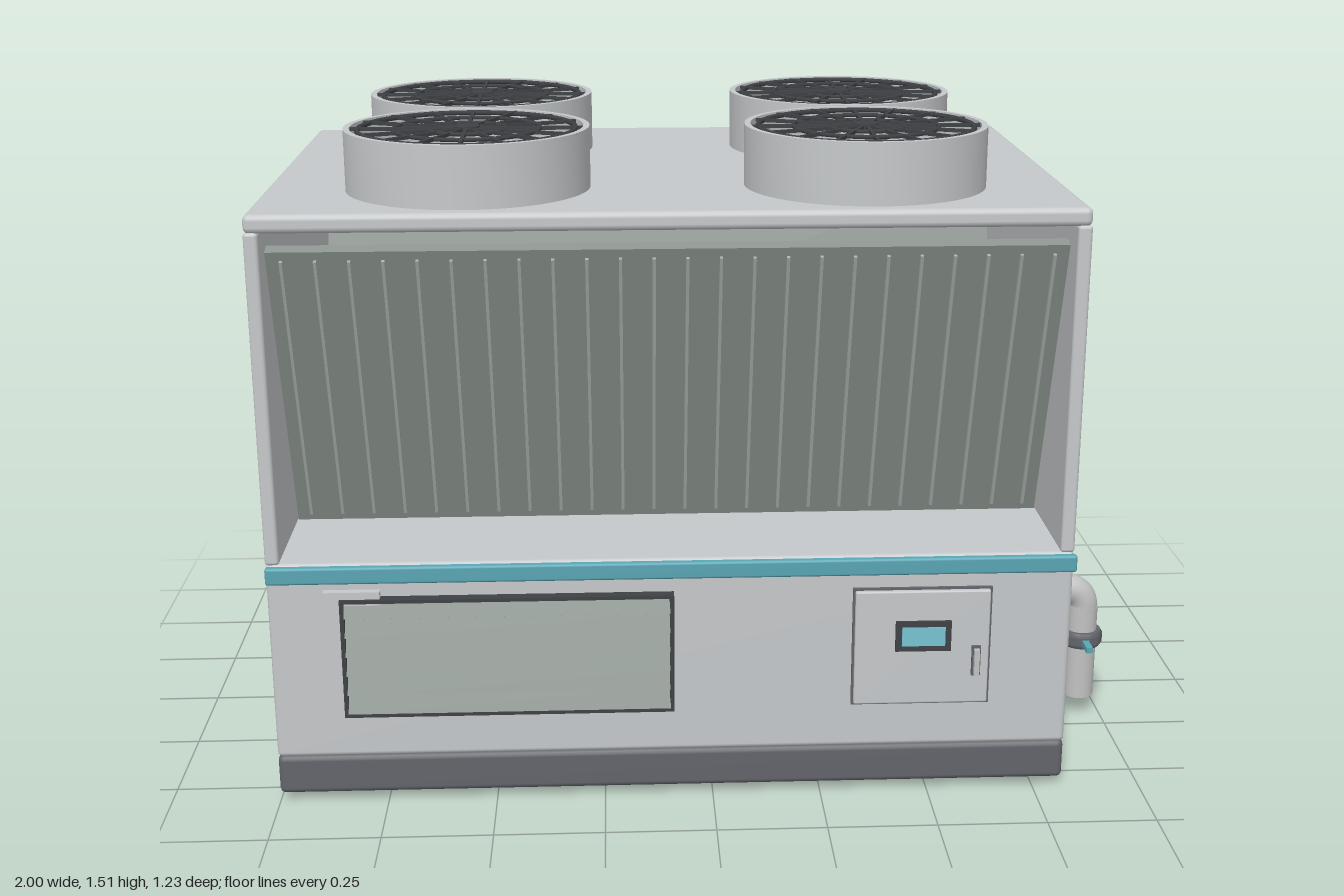
import * as THREE from 'three';
import { toCreasedNormals } from 'three/addons/utils/BufferGeometryUtils.js';
import { RoundedBoxGeometry } from 'three/addons/geometries/RoundedBoxGeometry.js';

const mat = (name, color, side = THREE.FrontSide) => {
  const m = new THREE.MeshStandardMaterial({ color, side });
  m.name = name;
  return m;
};

export function createModel() {
  const M = {
    panel: mat('light grey panel', 0xc6c9cb),
    base: mat('dark grey base', 0x63656b),
    coil: mat('grey green fin', 0x8b948f),
    rib: mat('pale fin edge', 0xa9b0ac),
    dark: mat('charcoal', 0x3f4245),
    blade: mat('fan grey', 0x5a5d60),
    pipe: mat('pipe silver', 0xc2c2c2),
    teal: mat('teal', 0x5aa6b5),
    screen: mat('screen blue', 0x78c3d3),
  };
  const root = new THREE.Group();
  root.name = 'rooftopChiller';

  const add = (parent, name, geo, m, x = 0, y = 0, z = 0) => {
    const mesh = new THREE.Mesh(geo, m);
    mesh.name = name;
    mesh.position.set(x, y, z);
    parent.add(mesh);
    return mesh;
  };
  const group = (parent, name, x = 0, y = 0, z = 0) => {
    const g = new THREE.Group();
    g.name = name;
    g.position.set(x, y, z);
    parent.add(g);
    return g;
  };
  // Box from its lower and upper corners, with optional rounded edges
  const box = (parent, name, m, [x0, y0, z0], [x1, y1, z1], r = 0) => {
    const s = [x1 - x0, y1 - y0, z1 - z0];
    const geo = r ? new RoundedBoxGeometry(...s, 2, r) : new THREE.BoxGeometry(...s);
    return add(parent, name, geo, m, (x0 + x1) / 2, (y0 + y1) / 2, (z0 + z1) / 2);
  };
  const cyl = (r, h, n = 32) => new THREE.CylinderGeometry(r, r, h, n);

  // Cabinet, symmetric about its own centre
  const W = 0.91, D = 0.594;
  const body = group(root, 'cabinet', -0.09, 0, -0.02);
  box(body, 'basePlinth', M.base, [-W, 0.02, -D], [W, 0.115, D], 0.014);
  box(body, 'lowerCabinet', M.panel, [-W, 0.113, -D], [W, 0.585, D], 0.012);
  box(body, 'roof', M.panel, [-W, 1.333, -D], [W, 1.375, D], 0.014);
  for (const s of [-1, 1]) {
    const inner = s * (W - 0.032), outer = s * W;
    box(body, 'sidePanel', M.panel, [Math.min(inner, outer), 0.583, -D], [Math.max(inner, outer), 1.336, D], 0.008);
    for (const x of [-0.785, 0, 0.785]) add(body, 'foot', cyl(0.036, 0.024, 24), M.base, x, 0.012, s * 0.503);
  }

  // Pair of slanted coil walls forming a V, each with raised fin edges
  const tilt = Math.atan2(0.23, 0.695), coilLength = 0.732;
  for (const turn of [0, Math.PI]) {
    const side = group(body, 'coilSide');
    side.rotation.y = turn;
    const wall = group(side, 'coilWall', 0, 0.932, 0.41);
    wall.rotation.x = tilt;
    box(wall, 'coil', M.coil, [-0.878, -coilLength / 2, -0.03], [0.878, coilLength / 2, 0]);
    for (let i = 0; i < 24; i++) {
      add(wall, 'finEdge', new THREE.BoxGeometry(0.007, 0.69, 0.012), M.rib, -0.845 + i * 0.0735, 0, 0.002);
    }
  }

  // Four roof fans
  const shroudProfile = [[0.262, 0], [0.276, 0], [0.276, 0.142], [0.262, 0.142], [0.262, 0]]
    .map(([r, y]) => new THREE.Vector2(r, y));
  const shroudGeo = toCreasedNormals(new THREE.LatheGeometry(shroudProfile, 64), 0.7);
  for (const x of [-0.451, 0.451]) {
    for (const z of [-0.281, 0.281]) {
      const fan = group(body, 'fan', x, 1.372, z);
      add(fan, 'fanShroud', shroudGeo, M.panel);
      add(fan, 'fanHub', cyl(0.045, 0.09), M.blade, 0, 0.046, 0);
      for (let i = 0; i < 5; i++) {
        const arm = group(fan, 'bladeArm', 0, 0.07, 0);
        arm.rotation.y = i * Math.PI * 2 / 5;
        const blade = add(arm, 'fanBlade', new THREE.BoxGeometry(0.19, 0.008, 0.058), M.blade, 0.13, 0, 0);
        blade.rotation.x = 0.35;
      }
      const guard = group(fan, 'fanGuard', 0, 0.136, 0);
      for (const [r, t] of [[0.245, 0.006], [0.165, 0.005], [0.088, 0.005]]) {
        const ring = add(guard, 'guardRing', new THREE.TorusGeometry(r, t, 6, 48), M.dark);
        ring.rotation.x = Math.PI / 2;
      }
      add(guard, 'guardCap', cyl(0.03, 0.014, 24), M.dark);
      for (let i = 0; i < 16; i++) {
        const a = i * Math.PI / 8;
        const spoke = add(guard, 'guardSpoke', new THREE.BoxGeometry(0.24, 0.008, 0.008), M.dark,
          0.143 * Math.cos(a), 0, -0.143 * Math.sin(a));
        spoke.rotation.y = a;
      }
    }
  }

  // Front trim band
  box(root, 'trimBand', M.teal, [-1, 0.54, 0.565], [0.825, 0.58, 0.586], 0.006);

  // Louvred intake with label plate
  const vent = group(root, 'intakeLouvre');
  box(vent, 'louvreBack', M.dark, [-0.837, 0.222, 0.57], [-0.089, 0.507, 0.583]);
  box(vent, 'labelPlate', M.panel, [-0.873, 0.462, 0.57], [-0.747, 0.524, 0.593]);
  for (const x of [-0.837, -0.099]) {
    box(vent, 'louvreSide', M.dark, [x, 0.222, 0.57], [x + 0.01, 0.507, 0.6]);
  }
  for (const y of [0.222, 0.499]) {
    box(vent, 'louvreRail', M.dark, [-0.837, y, 0.57], [-0.089, y + 0.008, 0.6]);
  }
  for (let i = 0; i < 6; i++) {
    const slat = add(vent, 'slat', new THREE.BoxGeometry(0.73, 0.045, 0.006), M.coil, -0.463, 0.252 + i * 0.0465, 0.593);
    slat.rotation.x = -0.4;
  }

  // Control door with display and handle
  const door = group(root, 'controlDoor');
  box(door, 'doorSeam', M.base, [0.317, 0.222, 0.57], [0.635, 0.508, 0.581]);
  box(door, 'doorPanel', M.panel, [0.322, 0.227, 0.57], [0.63, 0.503, 0.592], 0.004);
  box(door, 'displayFrame', M.dark, [0.414, 0.36, 0.585], [0.541, 0.432, 0.6]);
  box(door, 'display', M.screen, [0.428, 0.374, 0.598], [0.527, 0.419, 0.603]);
  box(door, 'doorHandle', M.base, [0.59, 0.298, 0.588], [0.61, 0.37, 0.6]);
  box(door, 'handleGrip', M.pipe, [0.594, 0.303, 0.598], [0.606, 0.365, 0.612]);

  // Two water pipes with valves on the left side
  const outletX = 0.947, bend = 0.046;
  for (const [z, lever] of [[0.17, M.teal], [-0.21, M.dark]]) {
    const pipe = group(root, 'waterPipe', 0, 0, z);
    const stub = add(pipe, 'pipeStub', cyl(0.038, 0.1), M.pipe, 0.853, 0.335, 0);
    stub.rotation.z = Math.PI / 2;
    add(pipe, 'pipeElbow', new THREE.TorusGeometry(bend, 0.037, 20, 16, Math.PI / 2), M.pipe, outletX - bend, 0.289, 0);
    add(pipe, 'pipeOutlet', cyl(0.038, 0.24), M.pipe, outletX, 0.17, 0);
    add(pipe, 'valveCollar', toCreasedNormals(new THREE.LatheGeometry(
      [[0.036, -0.02], [0.047, -0.02], [0.053, -0.01], [0.053, 0.01], [0.047, 0.02], [0.036, 0.02]]
        .map(([r, y]) => new THREE.Vector2(r, y)), 32), 0.9), M.base, outletX, 0.207, 0);
    box(pipe, 'valveLever', lever, [outletX - 0.008, 0.2, 0.04], [outletX + 0.008, 0.214, 0.1]);
  }
  return root;
}
